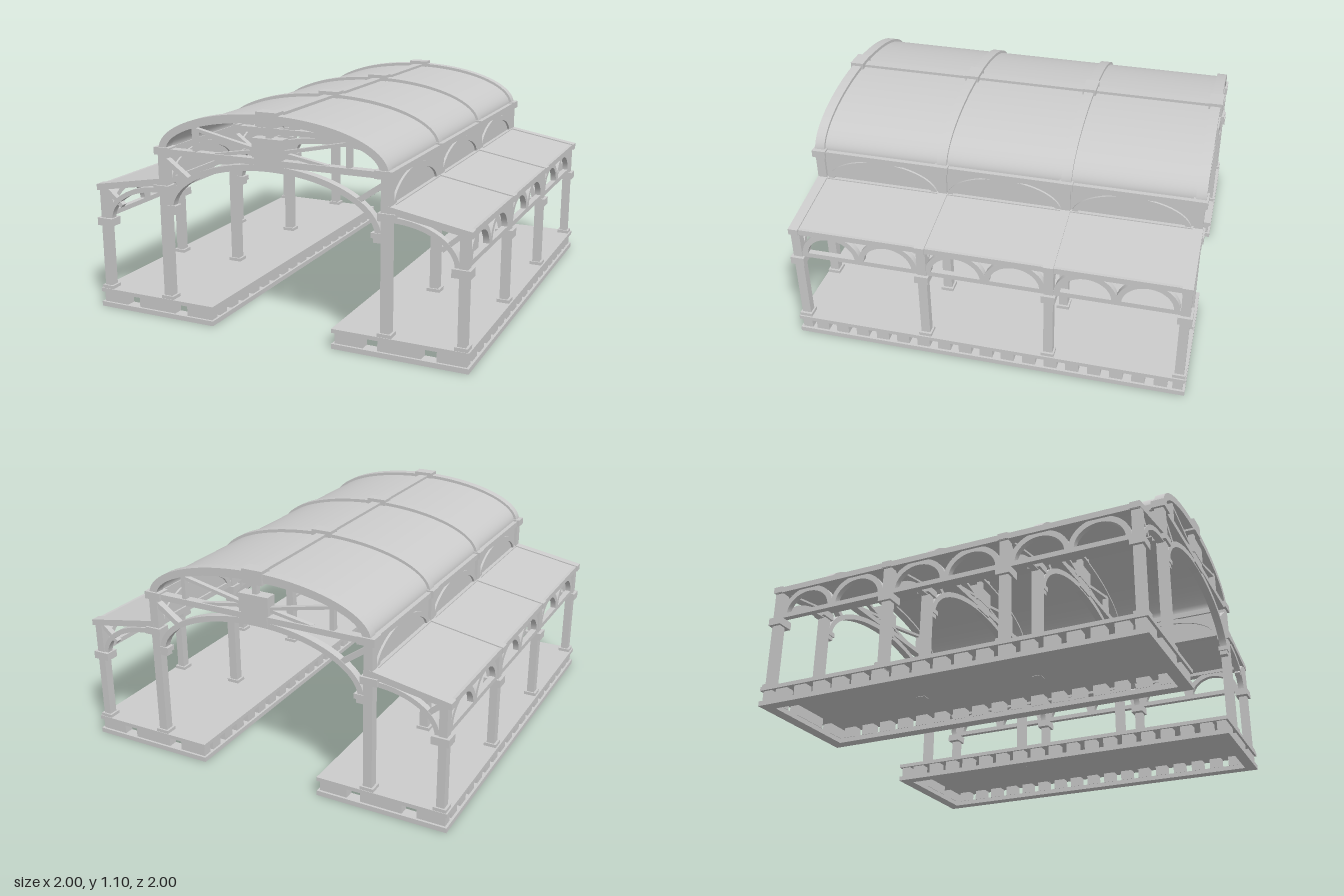
import * as THREE from 'three';
import { toCreasedNormals } from 'three/addons/utils/BufferGeometryUtils.js';

const material = new THREE.MeshStandardMaterial({ color: 0xcccccc });
const FRAMES = [-0.965, -0.316, 0.316, 0.965]; // z of the four frames
const BAYS = [-0.64, 0, 0.64]; // z of the three bay centres

function add(parent, name, geometry, x = 0, y = 0, z = 0) {
  const mesh = new THREE.Mesh(geometry, material);
  mesh.name = name;
  mesh.position.set(x, y, z);
  parent.add(mesh);
  return mesh;
}

// Box given by its x, y and z limits
function box(parent, name, x0, x1, y0, y1, z0, z1) {
  return add(parent, name, new THREE.BoxGeometry(x1 - x0, y1 - y0, z1 - z0),
    (x0 + x1) / 2, (y0 + y1) / 2, (z0 + z1) / 2);
}

// Straight bar between two points of the xy plane
function bar(parent, name, x0, y0, x1, y1, width, depth) {
  const length = Math.hypot(x1 - x0, y1 - y0);
  const mesh = add(parent, name, new THREE.BoxGeometry(length, width, depth), (x0 + x1) / 2, (y0 + y1) / 2);
  mesh.rotation.z = Math.atan2(y1 - y0, x1 - x0);
  return mesh;
}

// Curved band between two concentric elliptical arcs, extruded and centred in depth
function band(a, b, thickness, depth, from = 0, to = Math.PI, steps = 32) {
  const points = [];
  for (let i = 0; i <= steps; i++) {
    const t = from + (to - from) * i / steps;
    points.push(new THREE.Vector2(a * Math.cos(t), b * Math.sin(t)));
  }
  for (let i = steps; i >= 0; i--) {
    const t = from + (to - from) * i / steps;
    points.push(new THREE.Vector2((a - thickness) * Math.cos(t), (b - thickness) * Math.sin(t)));
  }
  const geometry = new THREE.ExtrudeGeometry(new THREE.Shape(points), { depth, bevelEnabled: false });
  geometry.translate(0, 0, -depth / 2);
  return toCreasedNormals(geometry, 0.5);
}

// Hollow plinth, toothed course and deck
function platform() {
  const g = new THREE.Group();
  g.name = 'platform';
  const shape = new THREE.Shape([[0.325, -1], [1, -1], [1, 1], [0.325, 1]].map(p => new THREE.Vector2(...p)));
  shape.holes.push(new THREE.Path([[0.385, -0.94], [0.385, 0.94], [0.94, 0.94], [0.94, -0.94]].map(p => new THREE.Vector2(...p))));
  const ring = new THREE.ExtrudeGeometry(shape, { depth: 0.025, bevelEnabled: false });
  ring.rotateX(-Math.PI / 2);
  add(g, 'plinthRing', ring);
  box(g, 'deck', 0.325, 1, 0.08, 0.1, -1, 1);
  for (const x of [0.362, 0.963]) {
    for (let i = -8; i <= 8; i++) box(g, 'sideBlock', x - 0.025, x + 0.025, 0.025, 0.08, i * 0.11 - 0.033, i * 0.11 + 0.033);
  }
  for (const s of [-1, 1]) {
    for (const [x0, x1] of [[0.337, 0.482], [0.555, 0.7], [0.63, 0.77], [0.845, 0.988]]) {
      box(g, 'endBlock', x0, x1, 0.025, 0.08, s * 0.963 - 0.025, s * 0.963 + 0.025);
    }
  }
  return g;
}

// One side of a frame: columns, aisle rafter, braces and half of the truss webs
function halfFrame() {
  const g = new THREE.Group();
  g.name = 'halfFrame';
  const block = (name, x0, x1, y0, y1, d) => box(g, name, x0, x1, y0, y1, -d / 2, d / 2);
  block('outerColumn', 0.94, 0.98, 0.078, 0.645, 0.046);
  block('outerBase', 0.928, 0.992, 0.1, 0.117, 0.064);
  block('outerCapital', 0.908, 0.996, 0.44, 0.48, 0.07);
  block('innerColumn', 0.568, 0.614, 0.078, 0.86, 0.046);
  block('innerBase', 0.556, 0.626, 0.1, 0.117, 0.064);
  block('aisleCapital', 0.555, 0.642, 0.653, 0.69, 0.068);
  block('roofCapital', 0.54, 0.628, 0.845, 0.883, 0.07);

  // Rafter whose ends are cut plumb
  const rafter = new THREE.Shape([[0.6, 0.69], [0.997, 0.622], [0.997, 0.654], [0.6, 0.724]].map(p => new THREE.Vector2(...p)));
  add(g, 'aisleRafter', new THREE.ExtrudeGeometry(rafter, { depth: 0.05, bevelEnabled: false }), 0, 0, -0.025);

  // Curved aisle brace and its strut
  add(g, 'aisleBrace', band(0.325, 0.2, 0.025, 0.034, 0, Math.PI / 2, 16), 0.618, 0.472);
  bar(g, 'aisleStrut', 0.855, 0.55, 0.945, 0.628, 0.022, 0.03);

  // Corbel under the nave arch, and arch strut
  block('corbel', 0.52, 0.57, 0.567, 0.592, 0.05);
  block('corbelFoot', 0.53, 0.57, 0.545, 0.567, 0.04);
  bar(g, 'archStrut', 0.575, 0.815, 0.44, 0.72, 0.026, 0.034);

  // Truss webs
  block('trussPost', 0.395, 0.417, 0.87, 0.995, 0.03);
  bar(g, 'upperWeb', 0.41, 0.985, 0.07, 0.913, 0.016, 0.025);
  bar(g, 'lowerWeb', 0.3, 0.868, 0.07, 0.907, 0.016, 0.025);
  return g;
}

// Complete cross frame
function frame(z) {
  const g = new THREE.Group();
  g.name = 'frame';
  g.position.z = z;
  for (const angle of [0, Math.PI]) {
    const half = halfFrame();
    half.rotation.y = angle;
    g.add(half);
  }
  add(g, 'roofRib', band(0.606, 0.215, 0.042, 0.05, 0, Math.PI, 48), 0, 0.87);
  add(g, 'naveArch', band(0.57, 0.275, 0.03, 0.04, 0.06, Math.PI - 0.06, 48), 0, 0.572);
  box(g, 'tieBeam', -0.6, 0.6, 0.845, 0.875, -0.022, 0.022);
  box(g, 'keyBlock', -0.08, 0.08, 0.882, 0.975, -0.03, 0.03);
  box(g, 'lowerKeyBlock', -0.07, 0.07, 0.825, 0.882, -0.027, 0.027);
  box(g, 'kingPost', -0.013, 0.013, 0.97, 1.05, -0.015, 0.015);
  box(g, 'ridgeBlock', -0.055, 0.055, 1.03, 1.1, -0.035, 0.035);
  return g;
}

// Lengthwise parts of one side: beams, aisle roof, arcade and clerestory
function sideWall() {
  const g = new THREE.Group();
  g.name = 'sideWall';
  const L = 0.985;
  box(g, 'eaveBeam', 0.94, 0.99, 0.622, 0.652, -L, L);
  box(g, 'arcadeSill', 0.945, 0.975, 0.48, 0.505, -L, L);
  box(g, 'wallPlate', 0.575, 0.617, 0.69, 0.72, -L, L);
  box(g, 'roofPlate', 0.572, 0.615, 0.845, 0.875, -L, L);
  box(g, 'clerestoryPanel', 0.585, 0.598, 0.7, 0.86, -L, L);
  bar(g, 'aisleRoof', 0.6, 0.71, 0.985, 0.642, 0.016, 2 * L);
  for (const z of BAYS) {
    for (const dz of [-0.147, 0.147]) {
      add(g, 'arcadeArch', band(0.152, 0.135, 0.028, 0.03, 0, Math.PI, 24), 0.96, 0.497, z + dz).rotation.y = Math.PI / 2;
    }
    add(g, 'clerestoryArch', band(0.295, 0.145, 0.028, 0.035), 0.592, 0.7, z).rotation.y = Math.PI / 2;
  }
  return g;
}

export function createModel() {
  const model = new THREE.Group();
  model.name = 'stationCanopy';
  for (const angle of [0, Math.PI]) {
    for (const part of [platform(), sideWall()]) {
      part.rotation.y = angle;
      model.add(part);
    }
  }
  for (const z of FRAMES) model.add(frame(z));

  // Barrel roof and its ridge
  add(model, 'barrelRoof', band(0.592, 0.198, 0.014, 1.97, 0, Math.PI, 64), 0, 0.87);
  box(model, 'ridgeBeam', -0.026, 0.026, 1.045, 1.082, -0.985, 0.985);
  return model;
}
